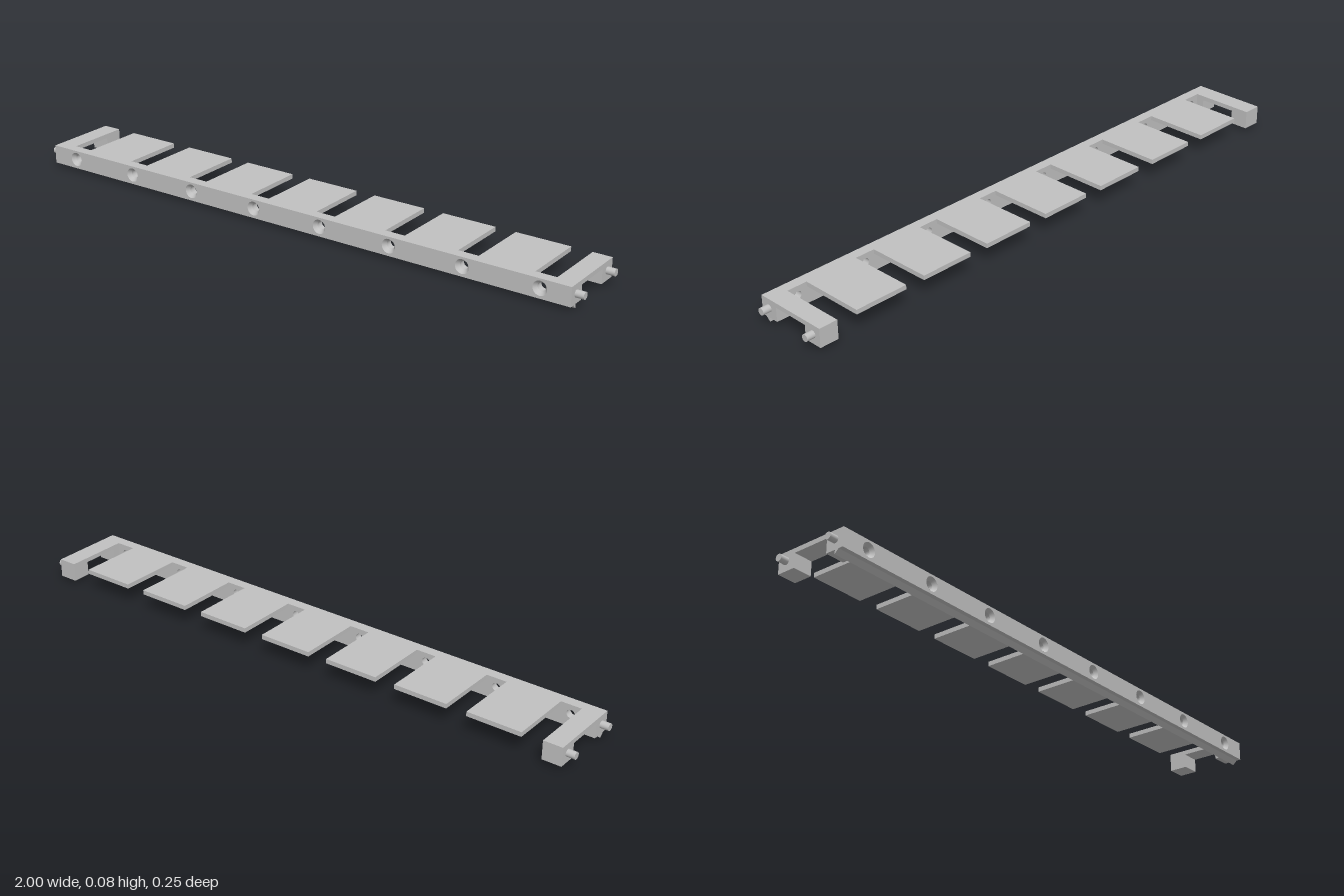
import * as THREE from 'three';

const grey = new THREE.MeshStandardMaterial({ color: 0xc0c0c0, side: THREE.DoubleSide });
grey.name = 'light grey';

const HALF = 0.972, BACK = -0.125, FRONT = 0.125, RAIL = 0.09;
const TOP = 0.075, UNDER = 0.06, BASE = 0.0135, AXIS = 0.045;
const PITCH = 0.25, SLOT = 0.068, SINK = 0.012, HOLE = 0.0135, HOLE_OUT = 0.023;
const holeXs = Array.from({ length: 8 }, (_, i) => (i - 3.5) * PITCH);

export function createModel() {
  const group = new THREE.Group();

  const add = (name, geometry, x = 0, y = 0, z = 0) => {
    const mesh = new THREE.Mesh(geometry, grey);
    mesh.name = name;
    mesh.position.set(x, y, z);
    group.add(mesh);
    return mesh;
  };

  // Box given by its limits on each axis
  const block = (name, x0, x1, y0, y1, z0, z1) =>
    add(name, new THREE.BoxGeometry(x1 - x0, y1 - y0, z1 - z0),
      (x0 + x1) / 2, (y0 + y1) / 2, (z0 + z1) / 2);

  // Front rail: two layers, the outer one with wider holes for the countersinks
  const railLayer = (name, radius, z0, z1) => {
    const shape = new THREE.Shape([
      new THREE.Vector2(-HALF, BASE), new THREE.Vector2(HALF, BASE),
      new THREE.Vector2(HALF, TOP), new THREE.Vector2(-HALF, TOP),
    ]);
    for (const x of holeXs) {
      shape.holes.push(new THREE.Path().absarc(x, AXIS, radius, 0, Math.PI * 2, true));
    }
    add(name, new THREE.ExtrudeGeometry(shape, {
      depth: z1 - z0, bevelEnabled: false, curveSegments: 24,
    }), 0, 0, z0);
  };
  railLayer('railInner', HOLE, RAIL, FRONT - SINK);
  railLayer('railOuter', HOLE_OUT, FRONT - SINK, FRONT);

  // Conical countersinks around the screw holes
  for (const x of holeXs) {
    const cone = new THREE.CylinderGeometry(HOLE_OUT, HOLE, SINK, 24, 1, true);
    add('countersink', cone.rotateX(Math.PI / 2), x, AXIS, FRONT - SINK / 2);
  }

  // Wedge-shaped lip running under the rail
  const lip = new THREE.Shape([
    new THREE.Vector2(-0.11, BASE), new THREE.Vector2(-0.0955, 0),
    new THREE.Vector2(-0.0955, BASE),
  ]);
  const lipGeometry = new THREE.ExtrudeGeometry(lip, { depth: HALF * 2, bevelEnabled: false });
  add('lip', lipGeometry.rotateY(Math.PI / 2), -HALF);

  // Flat tabs between the slots
  for (let i = 0; i < 7; i++) {
    block('tab', holeXs[i] + SLOT / 2, holeXs[i + 1] - SLOT / 2, UNDER, TOP, BACK, RAIL);
  }

  // Both ends: narrow strip, two feet and two pegs
  const inner = holeXs[7] + SLOT / 2;
  for (const side of [-1, 1]) {
    const x0 = side < 0 ? -HALF : inner;
    const x1 = side < 0 ? -inner : HALF;
    block('endStrip', x0, x1, UNDER, TOP, BACK, RAIL);
    block('frontFoot', x0, x1, BASE, UNDER, 0.0625, RAIL);
    block('backFoot', x0, x1, BASE, UNDER, BACK, -0.0625);
    for (const z of [-0.095, 0.095]) {
      const peg = new THREE.CylinderGeometry(0.0115, 0.0115, 1 - HALF, 24);
      add('peg', peg.rotateZ(Math.PI / 2), side * (1 + HALF) / 2, AXIS, z);
    }
  }

  return group;
}
